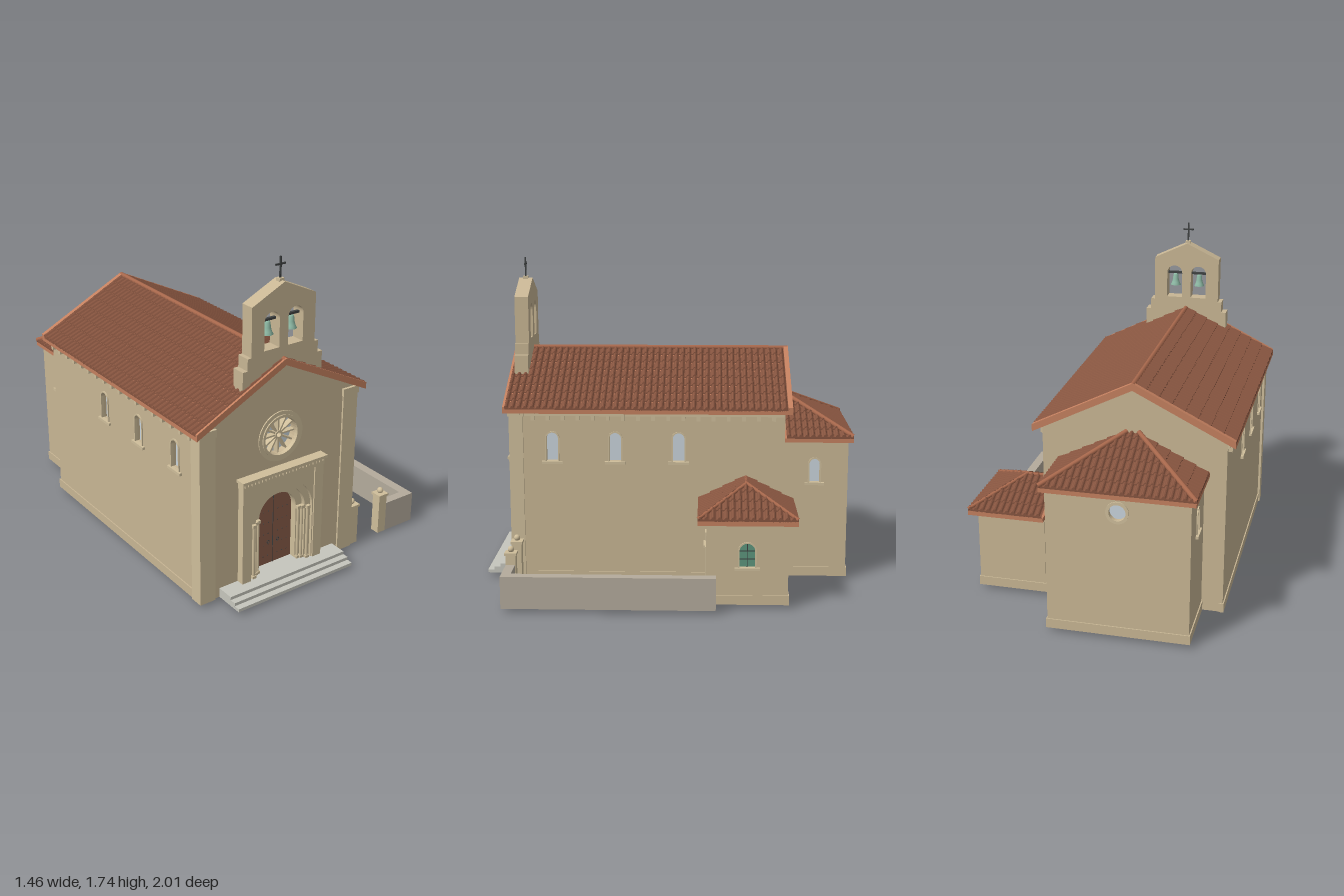
import * as THREE from 'three';

const CX = -0.21; // centre line of nave, apse and portal
const C = {
  wall: 0xc8b694, trim: 0xcfbe9b, tile: 0x86543f, fascia: 0xc4805f, cap: 0xa8684c, step: 0xc6c6bd,
  yard: 0xb4ab9c, door: 0x875b48, glass: 0xc9d4dc, green: 0x5c957c, bell: 0x8fbba6, iron: 0x3f4242, floor: 0x5c5c5a,
};
const mats = {};
const mat = (c) => (mats[c] ??= new THREE.MeshStandardMaterial({ color: C[c] }));
const tileMat = new THREE.MeshStandardMaterial({ color: C.tile, flatShading: true, side: THREE.DoubleSide });

function add(parent, name, geo, color, x = 0, y = 0, z = 0) {
  const m = new THREE.Mesh(geo, color.isMaterial ? color : mat(color));
  m.name = name;
  m.position.set(x, y, z);
  parent.add(m);
  return m;
}
// Box given by its extents
const box = (p, name, c, x0, x1, y0, y1, z0, z1) =>
  add(p, name, new THREE.BoxGeometry(x1 - x0, y1 - y0, z1 - z0), c, (x0 + x1) / 2, (y0 + y1) / 2, (z0 + z1) / 2);
// Shape extruded from z0 to z1
const slab = (p, name, c, shape, z0, z1) =>
  add(p, name, new THREE.ExtrudeGeometry(shape, { depth: z1 - z0, bevelEnabled: false, curveSegments: 20 }), c, 0, 0, z0);
const poly = (pts) => new THREE.Shape(pts.map(([x, y]) => new THREE.Vector2(x, y)));

// Outline of an opening: rectangle, arch or circle; grow widens it all round
function outline(Type, { u, y, w, h, kind }, grow = 0) {
  const s = new Type(), r = w / 2 + grow, b = y - grow, t = y + h + grow;
  if (kind === 'round') { s.absarc(u, y + h / 2, r, 0, Math.PI * 2); return s; }
  s.moveTo(u - r, b);
  s.lineTo(u + r, b);
  if (kind === 'arch') s.absarc(u, t - r, r, 0, Math.PI);
  else { s.lineTo(u + r, t); s.lineTo(u - r, t); }
  s.closePath();
  return s;
}
function ring(o, grow) {
  const s = outline(THREE.Shape, o, grow);
  s.holes.push(outline(THREE.Path, o));
  return s;
}

// Wall with openings; its outer face is local z = 0
function wall(parent, name, x, z, turn, shape, openings, thick, plinthWidth = 0) {
  const g = new THREE.Group();
  g.name = name;
  g.position.set(x, 0, z);
  g.rotation.y = turn;
  parent.add(g);
  for (const o of openings) {
    shape.holes.push(outline(THREE.Path, o));
    if (o.bare) continue;
    slab(g, 'pane', o.color ?? 'glass', outline(THREE.Shape, o, 0.003), -thick * 0.8, -thick * 0.5);
    slab(g, 'openingFrame', 'trim', ring(o, o.frame ?? 0.008), -0.01, 0.006);
    if (o.sill) box(g, 'sill', 'trim', o.u - o.w / 2 - 0.025, o.u + o.w / 2 + 0.025, o.y - 0.014, o.y, -0.01, 0.014);
    if (o.bars) {
      box(g, 'windowBar', 'iron', o.u - 0.002, o.u + 0.002, o.y, o.y + o.h, -thick * 0.5, -thick * 0.4);
      for (const k of [0.33, 0.66])
        box(g, 'windowBar', 'iron', o.u - o.w / 2, o.u + o.w / 2, o.y + o.h * k - 0.002, o.y + o.h * k + 0.002, -thick * 0.5, -thick * 0.4);
    }
  }
  slab(g, 'wallPanel', 'wall', shape, -thick, 0);
  if (plinthWidth) box(g, 'plinth', 'wall', -plinthWidth / 2 - 0.006, plinthWidth / 2 + 0.006, 0, 0.05, -0.02, 0.006);
  return g;
}
const rect = (w, h) => poly([[-w / 2, 0], [w / 2, 0], [w / 2, h], [-w / 2, h]]);

// Tiled roof face: barrels run uphill from an eave starting at (x,y,z) along (ux,uz); run(u) is the depth
function tiles(parent, x, y, z, ux, uz, len, run) {
  const n = Math.round(len / 0.034), seg = 6, cols = n * seg, course = 0.065;
  let maxRun = 0;
  for (let i = 0; i <= cols; i++) maxRun = Math.max(maxRun, run((i / cols) * len));
  const rows = [[0, -0.004]];
  for (let r = 0; r < maxRun - 1e-6; r += course) rows.push([r, 0.008], [Math.min(r + course, maxRun), 0.001]);
  const pos = [], idx = [];
  rows.forEach(([r, lift], j) => {
    for (let i = 0; i <= cols; i++) {
      const u = (i / cols) * len, t = (i % seg) / seg, d = Math.min(r, Math.max(run(u), 0));
      const barrel = j === 0 ? 0 : t < 0.67 ? 0.012 * Math.sin((Math.PI * t) / 0.67) : -0.002;
      pos.push(x + ux * u + uz * d, y + d * 0.5 + lift + barrel, z + uz * u - ux * d);
      if (j && i) {
        const a = (j - 1) * (cols + 1) + i - 1, b = a + cols + 1;
        idx.push(a, a + 1, b + 1, a, b + 1, b);
      }
    }
  });
  const geo = new THREE.BufferGeometry();
  geo.setAttribute('position', new THREE.Float32BufferAttribute(pos, 3));
  geo.setIndex(idx);
  geo.computeVertexNormals();
  add(parent, 'roofTiles', geo, tileMat);
}
// Row of cap tiles along a ridge or hip
function cap(parent, a, b, r = 0.013) {
  const path = new THREE.LineCurve3(new THREE.Vector3(...a), new THREE.Vector3(...b));
  add(parent, 'ridgeCap', new THREE.TubeGeometry(path, 1, r, 8), 'cap');
}

function nave(g) {
  const gable = () => poly([[-0.475, 0], [0.475, 0], [0.475, 0.957], [0, 1.195], [-0.475, 0.957]]);
  const rose = { u: 0, y: 0.7, w: 0.2, h: 0.2, kind: 'round', frame: 0.035 };
  const f = wall(g, 'facade', CX, 0.835, 0, gable(), [rose, { u: 0, y: 0.02, w: 0.386, h: 0.528, kind: 'arch', bare: true }], 0.09);
  wall(g, 'rearGable', CX, -0.625, Math.PI, gable(), [], 0.04);
  // Rose window tracery
  for (let i = 0; i < 12; i++) {
    const a = (i * Math.PI) / 6;
    add(f, 'roseSpoke', new THREE.BoxGeometry(0.085, 0.009, 0.03), 'trim', Math.cos(a) * 0.06, 0.8 + Math.sin(a) * 0.06, -0.03).rotation.z = a;
  }
  slab(f, 'roseHub', 'trim', ring({ u: 0, y: 0.787, w: 0.026, h: 0.026, kind: 'round' }, 0.009), -0.045, -0.01);
  slab(f, 'roseMoulding', 'trim', ring(rose, 0.014), -0.01, 0.012);
  for (const s of [-1, 1]) {
    const wins = [0.615, 0.278, -0.06].map((z) => ({ u: -s * (z - 0.1), y: 0.665, w: 0.062, h: 0.155, kind: 'arch', sill: true }));
    const w = wall(g, 'naveSideWall', CX + s * 0.475, 0.1, s * Math.PI / 2, rect(1.45, 0.945), wins, 0.05, 1.45);
    // Corbel table under the eaves
    box(w, 'frieze', 'trim', -0.72, 0.72, 0.912, 0.945, 0, 0.012);
    for (let i = 0; i < 18; i++) box(w, 'corbel', 'trim', -0.705 + i * 0.08, -0.685 + i * 0.08, 0.89, 0.93, 0, 0.022);
    const x = CX + s * 0.442;
    box(g, 'cornerPilaster', 'trim', x - 0.046, x + 0.046, 0, 0.91, 0.77, 0.845);
    box(g, 'pilasterCapital', 'trim', x - 0.05, x + 0.05, 0.91, 0.95, 0.765, 0.85);
  }
  box(g, 'naveFloor', 'floor', CX - 0.44, CX + 0.44, 0.01, 0.02, -0.59, 0.8);
  // Roof
  const chevron = (h) => poly([[-0.52, 0.93], [0, 1.19], [0.52, 0.93], [0.52, 0.93 + h], [0, 1.19 + h], [-0.52, 0.93 + h]].map(([x, y]) => [x + CX, y]));
  slab(g, 'roofDeck', 'fascia', chevron(0.022), -0.66, 0.87);
  slab(g, 'rearVerge', 'fascia', chevron(0.038), -0.662, -0.637);
  slab(g, 'frontVerge', 'fascia', chevron(0.036), 0.86, 0.872);
  tiles(g, CX + 0.52, 0.952, 0.865, 0, -1, 1.51, () => 0.52);
  tiles(g, CX - 0.52, 0.952, -0.645, 0, 1, 1.51, () => 0.52);
  cap(g, [CX, 1.216, -0.66], [CX, 1.216, 0.87]);
}

function portal(g) {
  const p = new THREE.Group();
  p.name = 'portal';
  p.position.x = CX;
  g.add(p);
  const arch = (r) => ({ u: 0, y: 0.02, w: 2 * r, h: 0.335 + r, kind: 'arch' });
  const block = poly([[-0.25, 0], [0.25, 0], [0.25, 0.59], [-0.25, 0.59]]);
  block.holes.push(outline(THREE.Path, arch(0.193)));
  slab(p, 'portalSurround', 'trim', block, 0.83, 0.868);
  for (const s of [-1, 1]) box(p, 'portalPilaster', 'trim', s * 0.226 - 0.027, s * 0.226 + 0.027, 0, 0.585, 0.83, 0.876);
  slab(p, 'outerArch', 'trim', ring(arch(0.157), 0.038), 0.76, 0.852);
  slab(p, 'innerArch', 'trim', ring(arch(0.118), 0.041), 0.76, 0.828);
  box(p, 'cornice', 'trim', -0.255, 0.255, 0.585, 0.62, 0.83, 0.88);
  box(p, 'corniceTop', 'trim', -0.265, 0.265, 0.622, 0.637, 0.83, 0.892);
  for (let i = 0; i < 24; i++) box(p, 'dentil', 'trim', -0.25 + i * 0.0213, -0.24 + i * 0.0213, 0.605, 0.622, 0.87, 0.887);
  for (const s of [-1, 1]) for (const [x, z] of [[0.172, 0.858], [0.148, 0.84], [0.129, 0.834]]) {
    add(p, 'portalColumn', new THREE.CylinderGeometry(0.008, 0.008, 0.29, 10), 'trim', s * x, 0.205, z);
    box(p, 'columnCapital', 'trim', s * x - 0.011, s * x + 0.011, 0.345, 0.362, z - 0.011, z + 0.011);
    box(p, 'columnBase', 'trim', s * x - 0.011, s * x + 0.011, 0.045, 0.065, z - 0.011, z + 0.011);
  }
  slab(p, 'door', 'door', outline(THREE.Shape, arch(0.122)), 0.77, 0.79);
  box(p, 'doorSeam', 'iron', -0.0015, 0.0015, 0.05, 0.47, 0.785, 0.792);
  for (const s of [-1, 1]) {
    add(p, 'doorRing', new THREE.TorusGeometry(0.008, 0.002, 6, 12), 'iron', s * 0.03, 0.18, 0.793);
    for (let r = 0; r < 5; r++) for (const x of [0.03, 0.06, 0.09])
      add(p, 'doorStud', new THREE.SphereGeometry(0.003, 6, 4), 'iron', s * x, 0.1 + r * 0.065, 0.791);
  }
  for (let i = 0; i < 3; i++) box(p, 'entranceStep', 'step', -0.366, 0.366, i * 0.017, (i + 1) * 0.017, 0.78, 1 - i * 0.034);
}

function belfry(g) {
  const half = [[0.24, 1.05], [0.24, 1.2], [0.212, 1.2], [0.212, 1.262], [0.19, 1.262], [0.19, 1.515]];
  const s = poly([...half, [0, 1.605], ...half.slice().reverse().map(([x, y]) => [-x, y])]);
  for (const x of [-0.071, 0.071]) s.holes.push(outline(THREE.Path, { u: x, y: 1.28, w: 0.09, h: 0.19, kind: 'arch' }));
  const b = new THREE.Group();
  b.name = 'bellGable';
  b.position.x = CX;
  g.add(b);
  slab(b, 'bellWall', 'wall', s, 0.77, 0.845);
  const bell = [[0, 0.07], [0.01, 0.069], [0.015, 0.06], [0.017, 0.035], [0.022, 0.015], [0.03, 0], [0.025, 0], [0, 0.03]];
  for (const x of [-0.071, 0.071]) {
    box(b, 'bellBeam', 'iron', x - 0.046, x + 0.046, 1.416, 1.428, 0.8, 0.815);
    const m = add(b, 'bell', new THREE.LatheGeometry(bell.map(([r, y]) => new THREE.Vector2(r, y)).reverse(), 18), 'bell', x, 1.347, 0.8075);
    add(m, 'clapper', new THREE.SphereGeometry(0.006, 8, 6), 'iron', 0, -0.002, 0);
  }
  box(b, 'crossBase', 'trim', -0.014, 0.014, 1.592, 1.615, 0.794, 0.822);
  box(b, 'crossPost', 'iron', -0.004, 0.004, 1.61, 1.72, 0.804, 0.812);
  box(b, 'crossArm', 'iron', -0.03, 0.03, 1.678, 1.686, 0.804, 0.812);
}

function apse(g) {
  for (const s of [-1, 1]) {
    const win = { u: 0, y: 0.53, w: 0.055, h: 0.13, kind: 'arch', sill: true };
    wall(g, 'apseSideWall', CX + s * 0.363, -0.795, s * Math.PI / 2, rect(0.36, 0.765), [win], 0.04, 0.36);
    tiles(g, CX + s * 0.39, 0.78, s > 0 ? -0.64 : -1, 0, -s, 0.36, s > 0 ? (u) => 0.36 - u : (u) => u);
    cap(g, [CX + s * 0.39, 0.788, -1], [CX + s * 0.03, 0.968, -0.64]);
  }
  const oculus = { u: 0, y: 0.635, w: 0.085, h: 0.085, kind: 'round', frame: 0.016 };
  wall(g, 'apseRearWall', CX, -0.975, Math.PI, rect(0.726, 0.765), [oculus], 0.04, 0.726);
  box(g, 'apseEaves', 'fascia', CX - 0.39, CX + 0.39, 0.755, 0.778, -1, -0.625);
  tiles(g, CX + 0.39, 0.78, -1, -1, 0, 0.78, (u) => Math.min(u, 0.78 - u, 0.36));
  box(g, 'apseFloor', 'floor', CX - 0.33, CX + 0.33, 0.01, 0.02, -0.94, -0.66);
}

function annex(g) {
  const mx = 0.4475, mz = -0.42;
  wall(g, 'annexFrontWall', mx, -0.21, 0, rect(0.365, 0.44), [
    { u: -0.1025, y: 0.24, w: 0.05, h: 0.06, kind: 'rect', sill: true },
    { u: 0.058, y: 0.03, w: 0.106, h: 0.25, kind: 'rect', color: 'door', frame: 0.004 }], 0.03);
  wall(g, 'annexRearWall', mx, -0.63, Math.PI, rect(0.365, 0.44), [], 0.03, 0.365);
  wall(g, 'annexSideWall', 0.63, mz, Math.PI / 2, rect(0.42, 0.44),
    [{ u: 0, y: 0.198, w: 0.08, h: 0.128, kind: 'arch', color: 'green', sill: true, bars: true }], 0.03, 0.42);
  box(g, 'annexStep', 'step', 0.43, 0.575, 0, 0.016, -0.215, -0.145);
  box(g, 'annexUpperStep', 'step', 0.435, 0.57, 0.016, 0.032, -0.215, -0.172);
  box(g, 'annexFloor', 'door', 0.27, 0.6, 0.01, 0.02, -0.6, -0.24);
  // Hipped roof
  box(g, 'annexEaves', 'fascia', 0.26, 0.67, 0.428, 0.453, -0.675, -0.165);
  tiles(g, 0.265, 0.455, -0.165, 1, 0, 0.405, (u) => Math.min(0.255, 0.405 - u));
  tiles(g, 0.67, 0.455, -0.165, 0, -1, 0.51, (u) => Math.min(u, 0.51 - u));
  tiles(g, 0.67, 0.455, -0.675, -1, 0, 0.405, (u) => Math.min(0.255, u));
  cap(g, [0.26, 0.583, mz], [0.415, 0.583, mz], 0.01);
  for (const s of [-1, 1]) cap(g, [0.67, 0.462, mz + s * 0.255], [0.415, 0.587, mz], 0.01);
}

function yard(g) {
  box(g, 'yardSideWall', 'yard', 0.68, 0.733, 0, 0.17, -0.26, 0.835);
  box(g, 'yardFrontWall', 'yard', 0.53, 0.69, 0, 0.17, 0.787, 0.835);
  for (const x of [0.307, 0.512]) {
    box(g, 'gatePost', 'trim', x - 0.026, x + 0.026, 0, 0.22, 0.784, 0.836);
    box(g, 'gatePostCap', 'trim', x - 0.032, x + 0.032, 0.22, 0.233, 0.778, 0.842);
    add(g, 'gatePostBall', new THREE.SphereGeometry(0.017, 16, 12), 'trim', x, 0.248, 0.81);
  }
}

export function createModel() {
  const model = new THREE.Group();
  model.name = 'chapel';
  for (const [name, build] of Object.entries({ nave, portal, belfry, apse, annex, yard })) {
    const g = new THREE.Group();
    g.name = name;
    build(g);
    model.add(g);
  }
  return model;
}
